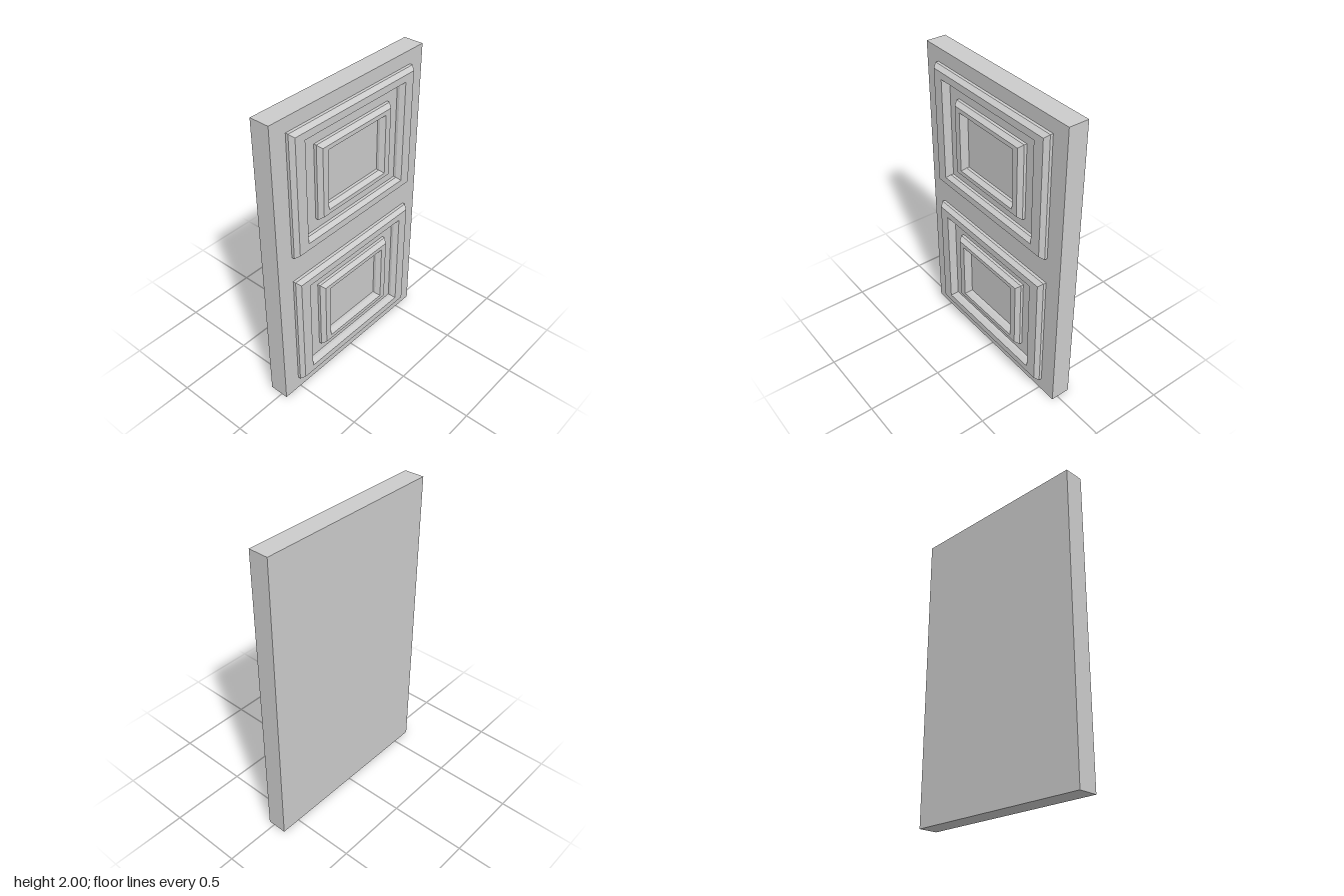
import * as THREE from 'three';

const material = new THREE.MeshStandardMaterial({ color: 0xcccccc, flatShading: true });

const BACK = -0.089, FACE = 0.042, SHOULDER = 0.061, FRONT = 0.089;

// Mitred rectangular moulding: rings of [half width, half height, z], outside to inside
function mouldingGeometry(rings) {
  const corners = ([w, h, z]) => [[-w, -h, z], [w, -h, z], [w, h, z], [-w, h, z]];
  const positions = [];
  for (let r = 0; r < rings.length - 1; r++) {
    const outer = corners(rings[r]);
    const inner = corners(rings[r + 1]);
    for (let i = 0; i < 4; i++) {
      const j = (i + 1) % 4;
      positions.push(...outer[i], ...outer[j], ...inner[j]);
      positions.push(...outer[i], ...inner[j], ...inner[i]);
    }
  }
  const geometry = new THREE.BufferGeometry();
  geometry.setAttribute('position', new THREE.Float32BufferAttribute(positions, 3));
  geometry.computeVertexNormals();
  return geometry;
}

// Straight shoulder, bevel, flat front, bevel, straight shoulder
function moulding(name, outer, flatOuter, flatInner, inner) {
  const geometry = mouldingGeometry([
    [...outer, FACE], [...outer, SHOULDER],
    [...flatOuter, FRONT], [...flatInner, FRONT],
    [...inner, SHOULDER], [...inner, FACE],
  ]);
  const mesh = new THREE.Mesh(geometry, material);
  mesh.name = name;
  return mesh;
}

export function createModel() {
  const model = new THREE.Group();
  model.name = 'panelDoor';

  // Door slab
  const slab = new THREE.Mesh(new THREE.BoxGeometry(1.264, 2, FACE - BACK), material);
  slab.name = 'slab';
  slab.position.set(0, 1, (FACE + BACK) / 2);
  model.add(slab);

  // Two panels, each with an outer and an inner moulding
  for (const [name, y] of [['lowerPanel', 0.502], ['upperPanel', 1.502]]) {
    const panel = new THREE.Group();
    panel.name = name;
    panel.position.y = y;
    panel.add(
      moulding('outerMoulding', [0.518, 0.409], [0.497, 0.388], [0.424, 0.342], [0.405, 0.322]),
      moulding('innerMoulding', [0.313, 0.249], [0.292, 0.228], [0.249, 0.2], [0.23, 0.18]),
    );
    model.add(panel);
  }
  return model;
}
